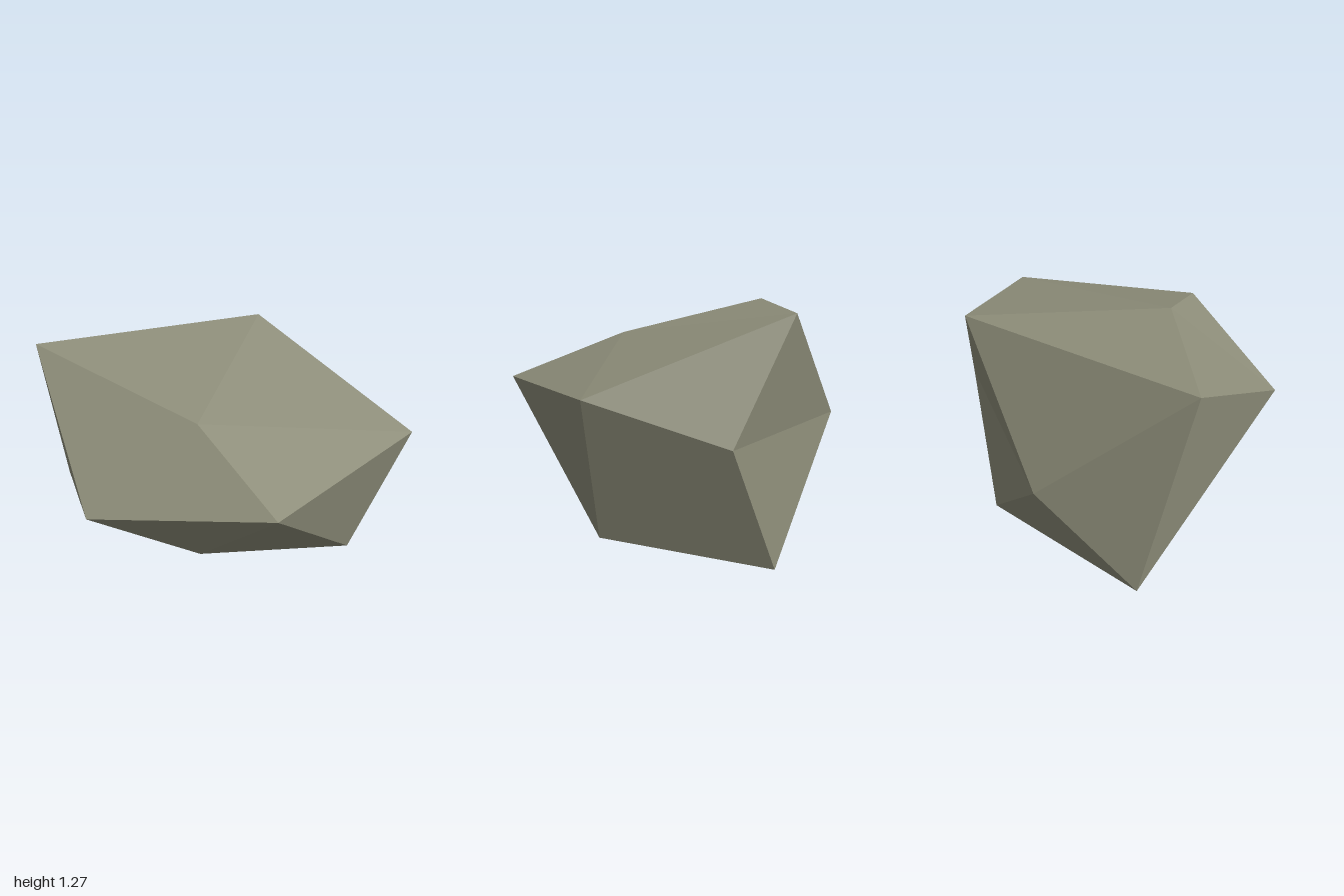
import * as THREE from 'three';

// Faceted boulder: two poles joined by two staggered rings of five corners.
export function createModel() {
  const group = new THREE.Group();
  group.name = 'boulder';

  const stone = new THREE.MeshStandardMaterial({ color: 0x8e8e7a });
  stone.name = 'grey green stone';
  stone.flatShading = true;

  const crown = [0.02, 1.12, 0.32];
  const base = [0.11, 0, -0.68];
  // Rings run anticlockwise seen from above, starting at the front left of the page
  const upper = [[-0.4, 0.77, 0.735], [0.5, 0.905, 0.69], [1, 0.94, -0.21], [0.06, 1.265, -0.735], [-0.96, 1.27, 0]];
  const lower = [[0, 0.26, 0.23], [0.75, 0.24, -0.09], [0.49, 0.68, -0.65], [-0.62, 0.68, -0.635], [-1, 0.29, -0.28]];

  const corners = [];
  for (let i = 0; i < 5; i++) {
    const j = (i + 1) % 5;
    corners.push(crown, upper[i], upper[j]);
    corners.push(upper[i], lower[i], upper[j]);
    corners.push(lower[i], lower[j], upper[j]);
    corners.push(base, lower[j], lower[i]);
  }

  const geometry = new THREE.BufferGeometry();
  geometry.setAttribute('position', new THREE.Float32BufferAttribute(corners.flat(), 3));
  geometry.computeVertexNormals();

  const rock = new THREE.Mesh(geometry, stone);
  rock.name = 'rock';
  group.add(rock);
  return group;
}
